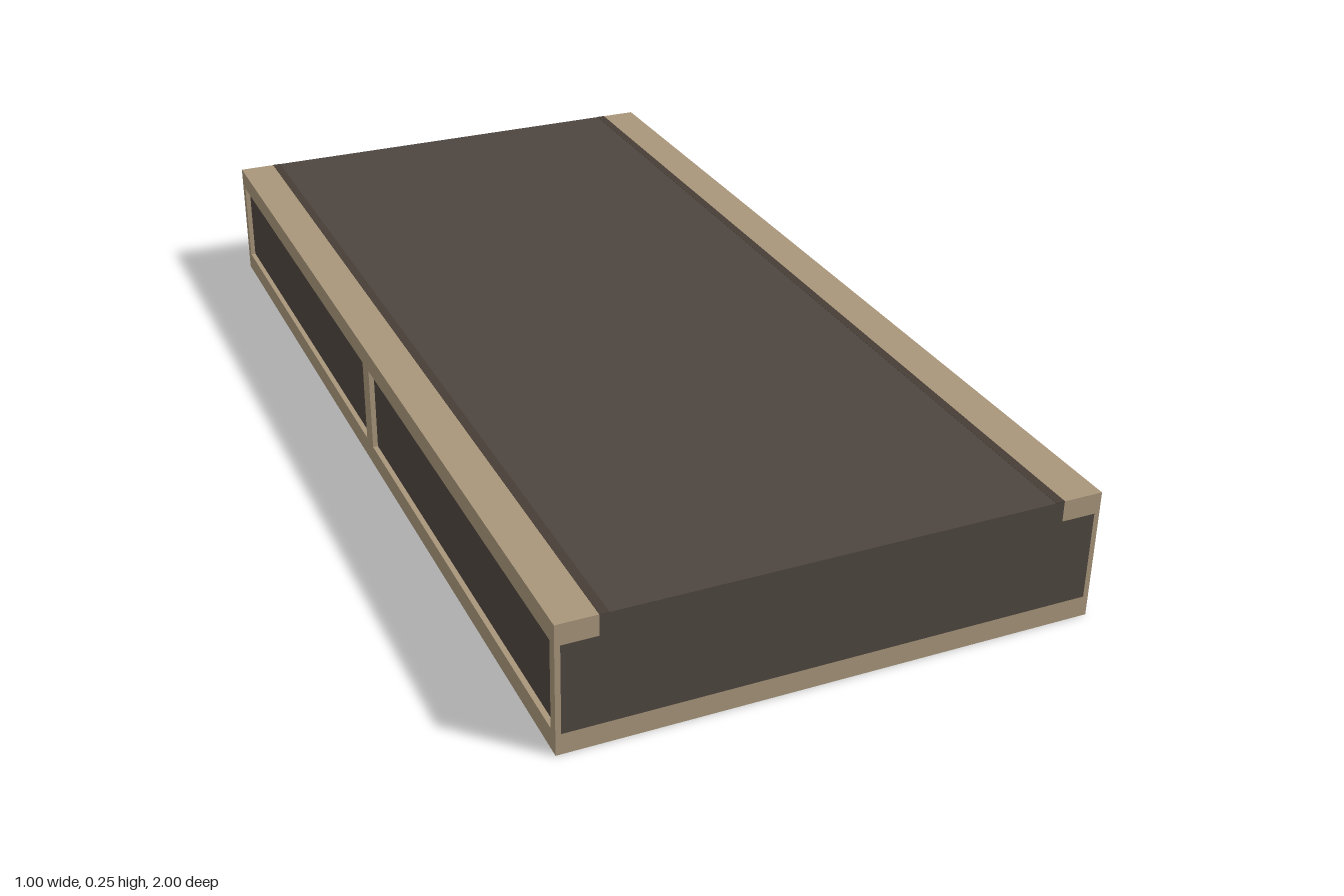
import * as THREE from 'three';

const tan = new THREE.MeshStandardMaterial({ color: 0xa8957a });
tan.name = 'tan frame';
const dark = new THREE.MeshStandardMaterial({ color: 0x4e4640 });
dark.name = 'dark brown panel';
const seam = new THREE.MeshStandardMaterial({ color: 0x463e36 });
seam.name = 'seam brown';

// Box given by its minimum and maximum corners
function block(name, material, [x0, y0, z0], [x1, y1, z1]) {
  const mesh = new THREE.Mesh(new THREE.BoxGeometry(x1 - x0, y1 - y0, z1 - z0), material);
  mesh.position.set((x0 + x1) / 2, (y0 + y1) / 2, (z0 + z1) / 2);
  mesh.name = name;
  return mesh;
}

export function createModel() {
  const model = new THREE.Group();
  model.name = 'framedPlatform';

  // Base slab, dark core and raised deck between the rails
  model.add(
    block('baseSlab', tan, [-0.5, 0, -1], [0.5, 0.04, 1]),
    block('core', dark, [-0.49, 0.04, -1], [0.49, 0.21, 1]),
    block('deck', dark, [-0.425, 0.21, -1], [0.425, 0.25, 1]),
  );

  for (const side of [-1, 1]) {
    const frame = new THREE.Group();
    frame.name = side > 0 ? 'leftFrame' : 'rightFrame';
    const add = (name, material, x0, x1, y0, y1, z0, z1) => frame.add(block(name, material,
      [Math.min(side * x0, side * x1), y0, z0], [Math.max(side * x0, side * x1), y1, z1]));

    // Top rail and the narrow seam beside it
    add('topRail', tan, 0.425, 0.5, 0.21, 0.25, -1, 1);
    add('deckSeam', seam, 0.408, 0.425, 0.249, 0.2505, -1, 1);

    // Posts in front of the recessed side panels
    add('backPost', tan, 0.49, 0.5, 0.04, 0.21, -1, -0.98);
    add('middlePost', tan, 0.49, 0.5, 0.04, 0.21, -0.02, 0.02);
    add('frontPost', tan, 0.49, 0.5, 0.04, 0.21, 0.98, 1);
    model.add(frame);
  }
  return model;
}
